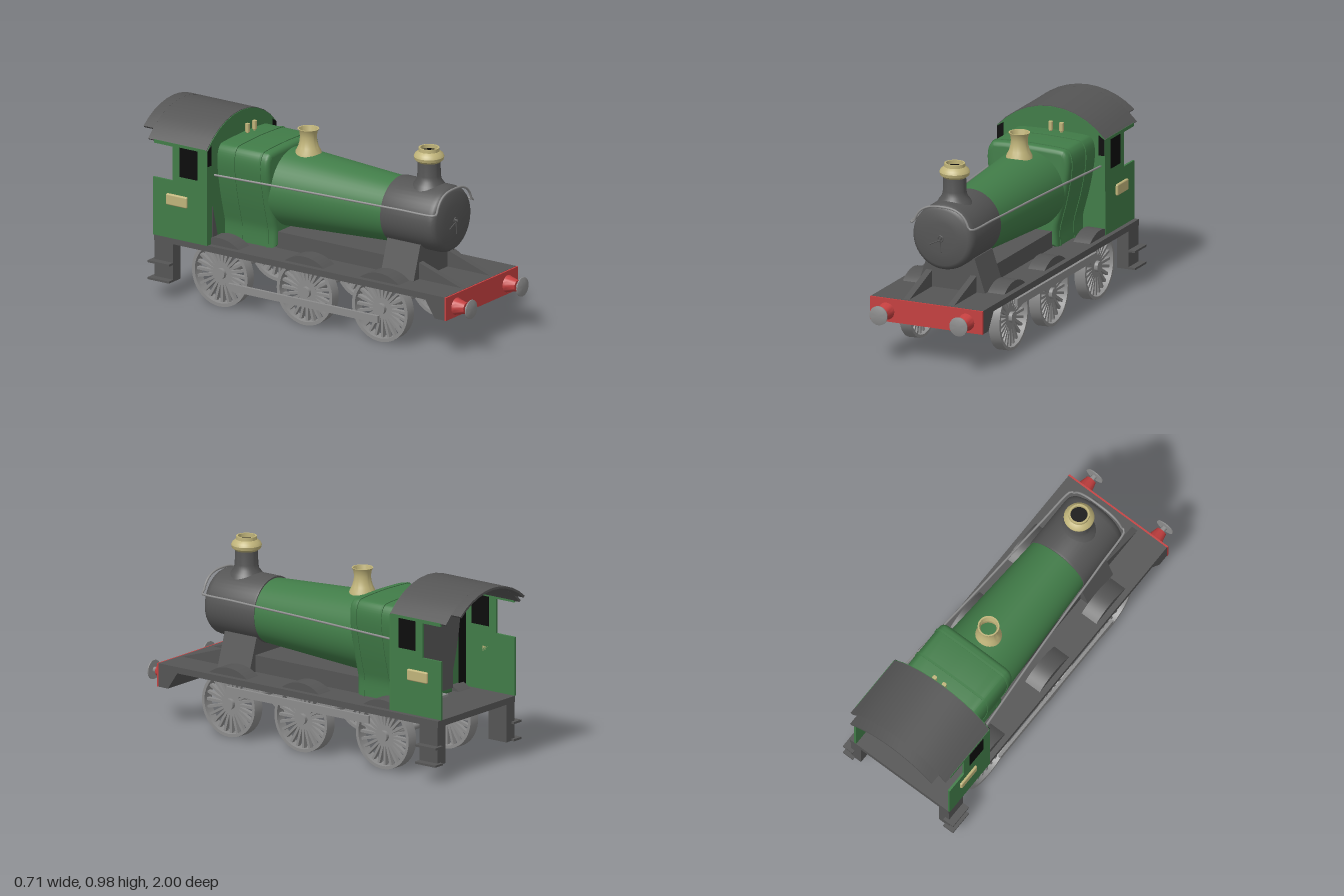
import * as THREE from 'three';
import { toCreasedNormals } from 'three/addons/utils/BufferGeometryUtils.js';
import { RoundedBoxGeometry } from 'three/addons/geometries/RoundedBoxGeometry.js';

const paint = (name, color, side = THREE.FrontSide) => {
  const m = new THREE.MeshStandardMaterial({ color, side });
  m.name = name;
  return m;
};

export function createModel() {
  const model = new THREE.Group();
  model.name = 'steamLocomotive';
  const green = paint('green', 0x417c48);
  const dark = paint('darkGrey', 0x555555);
  const grey = paint('steelGrey', 0x8c8c8c);
  const brass = paint('brass', 0xc0b47a, THREE.DoubleSide);
  const red = paint('red', 0xc44040);
  const black = paint('black', 0x0c0c0c);

  const add = (name, geometry, material, x = 0, y = 0, z = 0, parent = model) => {
    const mesh = new THREE.Mesh(geometry, material);
    mesh.name = name;
    mesh.position.set(x, y, z);
    parent.add(mesh);
    return mesh;
  };
  // Box given by its two extreme corners
  const box = (name, mat, x0, x1, y0, y1, z0, z1) => add(name,
    new THREE.BoxGeometry(Math.abs(x1 - x0), y1 - y0, Math.abs(z1 - z0)), mat, (x0 + x1) / 2, (y0 + y1) / 2, (z0 + z1) / 2);
  const lathe = (pts, seg = 40) => toCreasedNormals(
    new THREE.LatheGeometry(pts.map(p => new THREE.Vector2(...p)), seg), 0.6);
  const latheZ = (pts, seg) => lathe(pts, seg).rotateX(Math.PI / 2);
  const latheX = (pts, seg) => lathe(pts, seg).rotateZ(-Math.PI / 2);
  const shapeOf = pts => new THREE.Shape(pts.map(p => new THREE.Vector2(...p)));
  const extrude = (shape, depth, opts = {}) => toCreasedNormals(
    new THREE.ExtrudeGeometry(shape, { depth, bevelEnabled: false, ...opts }), 0.5);
  // (z, y) outline extruded between two x values
  const sideways = (pts, x0, x1) => extrude(shapeOf(pts), x1 - x0).rotateY(-Math.PI / 2).translate(x1, 0, 0);
  const rod = (name, mat, a, b, r) => add(name,
    new THREE.TubeGeometry(new THREE.LineCurve3(new THREE.Vector3(...a), new THREE.Vector3(...b)), 1, r, 8), mat);
  const sides = [-1, 1];

  // Footplate with dropped front, frames and front beam
  add('footplate', sideways([[0.89, 0.2], [0.89, 0.323], [-0.91, 0.323], [-0.91, 0.29], [0.77, 0.29], [0.83, 0.2]], -0.315, 0.315), dark);
  box('bufferBeam', red, -0.317, 0.317, 0.2, 0.322, 0.89, 0.9);
  box('frames', dark, -0.14, 0.14, 0.32, 0.41, -0.27, 0.61);
  add('smokeboxSaddle', extrude(shapeOf([[-0.19, 0.32], [0.19, 0.32], [0.13, 0.5], [-0.13, 0.5]]), 0.205), dark, 0, 0, 0.405);
  for (const s of sides) {
    add('frameGusset', sideways([[0.88, 0.32], [0.61, 0.41], [0.61, 0.32]], -0.017, 0.017), dark, s * 0.125);
    add('bufferHousing', latheZ([[0, 0], [0.045, 0], [0.04, 0.015], [0.028, 0.062], [0, 0.062]], 24), red, s * 0.225, 0.255, 0.9);
    add('buffer', latheZ([[0.014, 0.06], [0.014, 0.088], [0.05, 0.088], [0.05, 0.094], [0.03, 0.1], [0, 0.1]], 24), grey, s * 0.225, 0.255, 0.9);
    // Cab steps
    box('stepHanger', dark, s * 0.25, s * 0.315, 0.09, 0.3, -0.905, -0.79);
    for (const y of [0.09, 0.18]) box('step', dark, s * 0.29, s * 0.353, y, y + 0.011, -0.922, -0.79);
  }

  // Wheels, axles and splashers
  const wheelY = 0.172;
  const rim = latheX([[0.154, -0.03], [0.172, -0.03], [0.17, 0.03], [0.154, 0.03], [0.154, -0.03]], 48);
  const hub = latheX([[0, -0.03], [0.028, -0.03], [0.028, 0.03], [0, 0.03]], 20);
  const axle = new THREE.CylinderGeometry(0.02, 0.02, 0.46, 20).rotateZ(Math.PI / 2);
  const spoke = new THREE.BoxGeometry(0.022, 0.14, 0.014).translate(0, 0.088, 0);
  const arch = [];
  for (let i = 0; i <= 14; i++) {
    const a = THREE.MathUtils.lerp(0.9, Math.PI - 0.9, i / 14);
    arch.push([0.193 * Math.cos(a), 0.193 * Math.sin(a)]);
  }
  for (const z of [0.466, 0, -0.525]) {
    add('axle', axle, grey, 0, wheelY, z);
    for (const s of sides) {
      const wheel = new THREE.Group();
      wheel.name = 'wheel';
      wheel.position.set(s * 0.253, wheelY, z);
      add('rim', rim, grey, 0, 0, 0, wheel);
      add('hub', hub, grey, 0, 0, 0, wheel);
      for (let i = 0; i < 24; i++) add('spoke', spoke, grey, 0, 0, 0, wheel).rotation.x = i * Math.PI / 12;
      model.add(wheel);
      add('splasher', sideways(arch, -0.047, 0.047), dark, s * 0.239, wheelY, z);
    }
  }
  // Coupling rods, set a half turn apart
  box('leftCouplingRod', grey, 0.286, 0.302, 0.23, 0.27, -0.45, 0.466);
  box('rightCouplingRod', grey, -0.302, -0.286, 0.102, 0.14, -0.46, 0.466);

  // Smokebox and tapered boiler
  const boilerY = 0.622;
  add('smokebox', latheZ([[0, 0.39], [0.172, 0.39], [0.174, 0.4], [0.174, 0.68], [0.17, 0.7], [0.16, 0.715], [0.145, 0.722], [0.08, 0.728], [0, 0.73]], 48), dark, 0, boilerY);
  add('boiler', latheZ([[0.208, -0.3], [0.168, 0.4]], 48), green, 0, 0.618);
  add('doorBoss', new THREE.TorusGeometry(0.015, 0.003, 8, 20), dark, 0, boilerY, 0.738);
  rod('doorPin', dark, [0, boilerY, 0.72], [0, boilerY, 0.748], 0.006);
  rod('doorHandle', dark, [0, 0.615, 0.74], [-0.058, 0.588, 0.74], 0.003);
  rod('doorHandle', dark, [0, 0.615, 0.74], [0.003, 0.55, 0.74], 0.003);

  // Waisted firebox with rounded front edge and bands
  const half = [[0.165, 0.325], [0.163, 0.41], [0.178, 0.475], [0.198, 0.55], [0.217, 0.64], [0.23, 0.73], [0.228, 0.79], [0.21, 0.828], [0.17, 0.841], [0, 0.847]];
  const flank = new THREE.SplineCurve(half.map(p => new THREE.Vector2(...p))).getPoints(36);
  const outline = k => new THREE.Shape([...flank, ...flank.slice(0, -1).reverse().map(p => new THREE.Vector2(-p.x, p.y))]
    .map(p => new THREE.Vector2(p.x * k, (p.y - 0.6) * k + 0.6)));
  add('firebox', extrude(outline(1), 0.32, { bevelEnabled: true, bevelSize: 0.025, bevelThickness: 0.025, bevelOffset: -0.025, bevelSegments: 4 }), green, 0, 0, -0.61);
  for (const z of [-0.32, -0.48]) add('fireboxBand', extrude(outline(1.015), 0.012), green, 0, 0, z);
  add('backhead', extrude(outline(0.89), 0.02), dark, 0, 0, -0.643);
  box('firedoorShelf', grey, -0.05, 0.05, 0.34, 0.352, -0.69, -0.64);

  // Chimney, dome and whistles
  add('chimney', lathe([[0.1, 0.755], [0.08, 0.79], [0.065, 0.81], [0.06, 0.835], [0.058, 0.91]]), dark, 0, 0, 0.572);
  add('chimneyCap', lathe([[0.058, 0.905], [0.074, 0.918], [0.078, 0.934], [0.072, 0.948], [0.054, 0.962], [0.053, 0.98], [0.044, 0.98], [0.044, 0.95]]), brass, 0, 0, 0.572);
  add('chimneyBore', new THREE.CylinderGeometry(0.045, 0.045, 0.01, 32), black, 0, 0.955, 0.572);
  add('safetyValveCover', lathe([[0.072, 0.79], [0.066, 0.82], [0.053, 0.845], [0.045, 0.875], [0.043, 0.9], [0.047, 0.925], [0.055, 0.94], [0.047, 0.94], [0.04, 0.91]]), brass, 0, 0, -0.175);
  for (const x of [-0.005, 0.056]) {
    add('whistle', lathe([[0.008, 0.83], [0.008, 0.85], [0.012, 0.853], [0.012, 0.896], [0, 0.897]], 12), brass, x, 0, -0.548);
  }

  // Continuous handrail around the boiler
  const railArc = [[0.17, 0.687], [0.155, 0.692], [0.14, 0.725], [0.115, 0.757], [0.07, 0.78]];
  const rail = [[-0.265, 0.687, -0.57], [-0.22, 0.687, 0], [-0.19, 0.687, 0.5],
    ...railArc.map(([x, y]) => [-x, y, 0.727]), [0, 0.787, 0.727],
    ...[...railArc].reverse().map(([x, y]) => [x, y, 0.727]),
    [0.19, 0.687, 0.5], [0.22, 0.687, 0], [0.265, 0.687, -0.57]].map(p => new THREE.Vector3(...p));
  add('handrail', new THREE.TubeGeometry(new THREE.CatmullRomCurve3(rail, false, 'centripetal'), 160, 0.006, 8), grey);

  // Cab, set slightly off the centre line
  const cabX = -0.0165, w = 0.306, arcY = 0.564, R = 0.404;
  const arc = (r, hw, n = 10) => Array.from({ length: n + 1 }, (_, i) => {
    const a = Math.asin(hw / R) * (1 - 2 * i / n);
    return [r * Math.sin(a), arcY + r * Math.cos(a)];
  });
  const roofPiece = hw => shapeOf([...arc(R, hw), ...arc(R - 0.012, hw).reverse()]);
  add('roof', extrude(roofPiece(w), 0.36), dark, cabX, 0, -0.94);
  add('roofOverhang', extrude(roofPiece(0.262), 0.06), dark, cabX, 0, -1);
  add('cabFront', extrude(shapeOf([[-w, 0.323], [w, 0.323], ...arc(R - 0.003, w)]), 0.018), green, cabX, 0, -0.594);
  for (const s of sides) {
    const x = cabX + s * w, inner = x - s * 0.012;
    add('cabSide', sideways([[-0.585, 0.323], [-0.585, 0.83], [-0.905, 0.83], [-0.905, 0.812], [-0.79, 0.812], [-0.79, 0.63], [-0.91, 0.63], [-0.91, 0.323]],
      Math.min(x, inner), Math.max(x, inner)), green);
    box('sideWindow', black, x - s * 0.015, x + s * 0.002, 0.66, 0.815, -0.745, -0.635);
    const pane = [[s * 0.268, 0.742], [s * 0.302, 0.742], [s * 0.302, 0.825], [s * 0.268, 0.848]];
    add('frontWindow', extrude(shapeOf(s > 0 ? pane : pane.reverse()), 0.004), black, cabX, 0, -0.577);
    box('cabInnerPanel', black, cabX + s * 0.235, cabX + s * 0.292, 0.325, 0.82, -0.599, -0.595);
    add('sidePlate', new RoundedBoxGeometry(0.024, 0.06, 0.13, 3, 0.008), brass, x, 0.53, -0.76);
  }
  // Triangular stay on the cab front
  add('cabFrontStay', extrude(shapeOf([[-0.278, 0.323], [-0.222, 0.323], [-0.276, 0.52]]), 0.004), dark, 0, 0, -0.577);

  return model;
}
